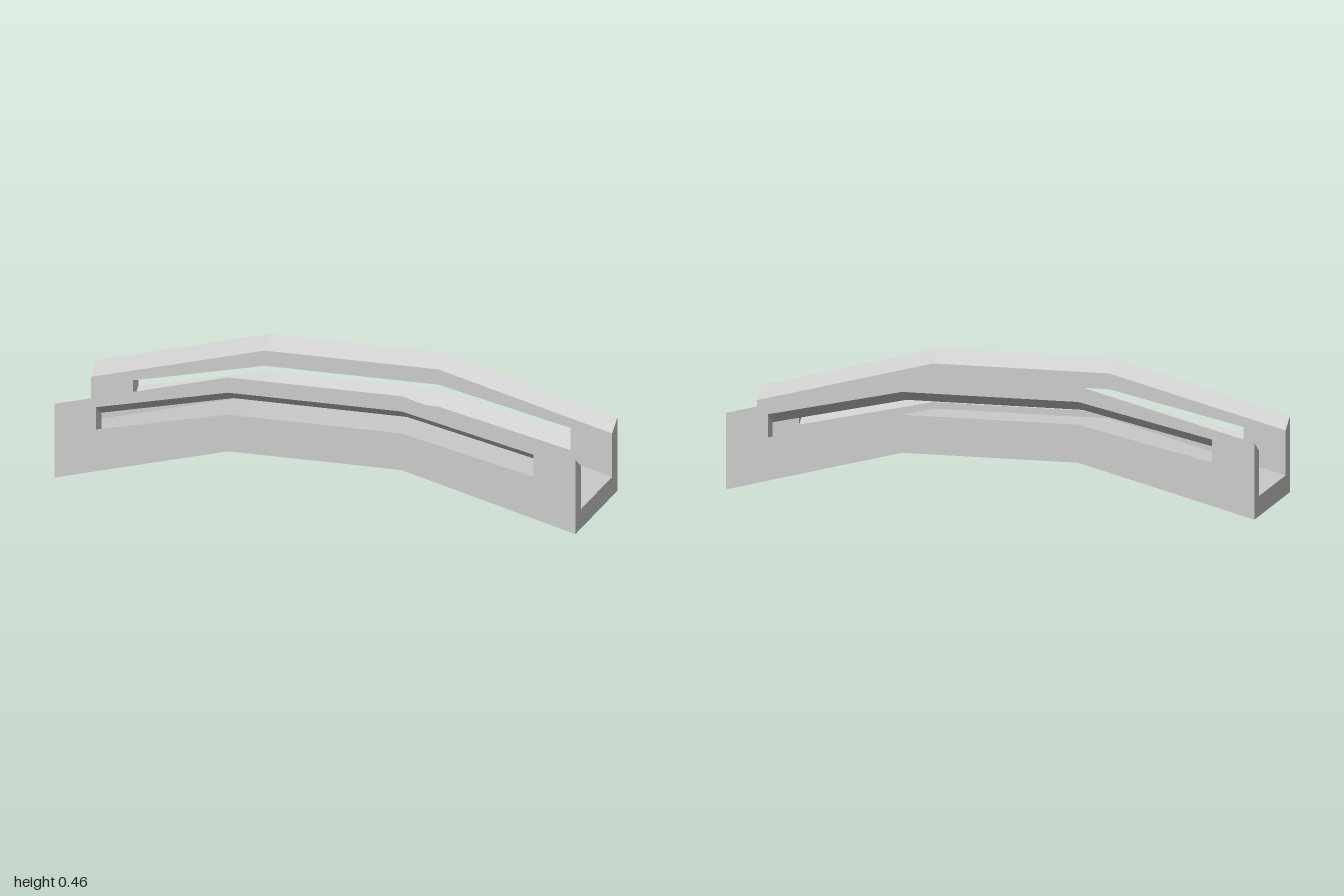
import * as THREE from 'three';

const KNEE = 1 / 3;       // where the arch bends
const RISE = 0.175;       // height of the arch
const HALF = 0.25;        // half of the full width
const WALL = 0.065;       // wall thickness
const BEVEL = 0.043;      // drop of rail tops and slots toward the inside

const archY = (x) => RISE * Math.min(1, (1 - Math.abs(x)) / (1 - KNEE));

// Closed band following the arch: end and middle heights of its lower and upper edges
function band(halfLength, lowEnd, lowMid, highEnd, highMid) {
  return [
    [-halfLength, lowEnd], [-KNEE, lowMid], [KNEE, lowMid], [halfLength, lowEnd],
    [halfLength, highEnd], [KNEE, highMid], [-KNEE, highMid], [-halfLength, highEnd],
  ].map(([x, y]) => new THREE.Vector2(x, y));
}

function extrude(shape, z0, depth) {
  return new THREE.ExtrudeGeometry(shape, { depth, bevelEnabled: false }).translate(0, 0, z0);
}

// Slotted side wall whose rail top and slot slope down toward the deck
function wallGeometry() {
  const shape = new THREE.Shape(band(1, 0, RISE, 0.286, 0.461));
  shape.holes.push(new THREE.Path(band(0.84, 0.204, 0.317, 0.29, 0.402).reverse()));
  const geometry = extrude(shape, HALF - WALL, WALL);
  const p = geometry.attributes.position;
  for (let i = 0; i < p.count; i++) {
    const inner = p.getZ(i) < HALF - WALL / 2;
    const aboveBase = p.getY(i) > archY(p.getX(i)) + 0.01;
    if (inner && aboveBase) p.setY(i, p.getY(i) - BEVEL);
  }
  geometry.computeVertexNormals();
  return geometry;
}

export function createModel() {
  const group = new THREE.Group();
  group.name = 'archedBridge';
  const material = new THREE.MeshStandardMaterial({ color: 0xcccccc, flatShading: true });

  // Deck between the walls
  const deckShape = new THREE.Shape(band(1, 0, RISE, 0.075, 0.25));
  const deck = new THREE.Mesh(extrude(deckShape, WALL - HALF, 2 * (HALF - WALL)), material);
  deck.name = 'deck';
  group.add(deck);

  // Front wall and its half-turned twin at the back
  const geometry = wallGeometry();
  ['frontWall', 'backWall'].forEach((name, i) => {
    const wall = new THREE.Mesh(geometry, material);
    wall.name = name;
    wall.rotation.y = i * Math.PI;
    group.add(wall);
  });
  return group;
}
